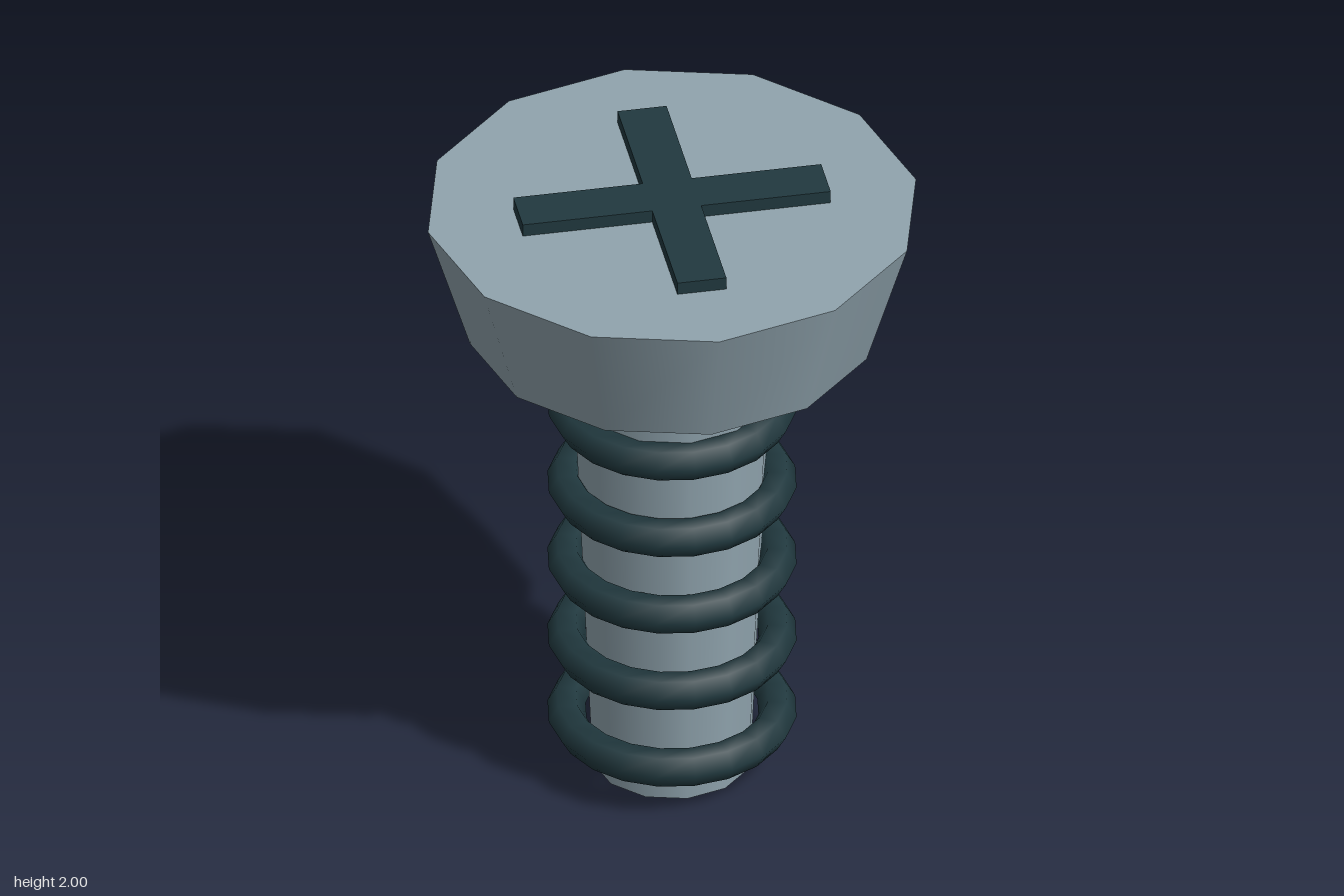
import * as THREE from 'three';

export function createModel() {
  const model = new THREE.Group();
  model.name = 'screw';

  const steel = new THREE.MeshStandardMaterial({ color: 0x90a4ae });
  steel.name = 'pale steel';
  const dark = new THREE.MeshStandardMaterial({ color: 0x21393f });
  dark.name = 'dark teal';

  const add = (name, geometry, material, y) => {
    const mesh = new THREE.Mesh(geometry, material);
    mesh.name = name;
    mesh.position.y = y;
    model.add(mesh);
    return mesh;
  };

  // Tapered shaft and flared twelve-sided head
  add('shaft', new THREE.CylinderGeometry(0.305, 0.24, 1.55, 12), steel, 0.775);
  add('head', new THREE.CylinderGeometry(0.737, 0.61, 0.415, 12), steel, 1.7525);

  // Raised cross on the head, one outline so the arms do not overlap
  const a = 0.465, w = 0.074;
  const outline = [
    [w, w], [w, a], [-w, a], [-w, w], [-a, w], [-a, -w],
    [-w, -w], [-w, -a], [w, -a], [w, -w], [a, -w], [a, w],
  ].map(([x, y]) => new THREE.Vector2(x, y));
  const cross = new THREE.ExtrudeGeometry(new THREE.Shape(outline), { depth: 0.05, bevelEnabled: false });
  cross.rotateX(-Math.PI / 2);
  add('driveCross', cross, dark, 1.95);

  // Evenly spaced thread rings
  const ring = new THREE.TorusGeometry(0.315, 0.057, 6, 20);
  ring.rotateX(Math.PI / 2);
  for (let i = 0; i < 5; i++) add(`threadRing${i + 1}`, ring, dark, 0.163 + i * 0.2735);

  return model;
}
